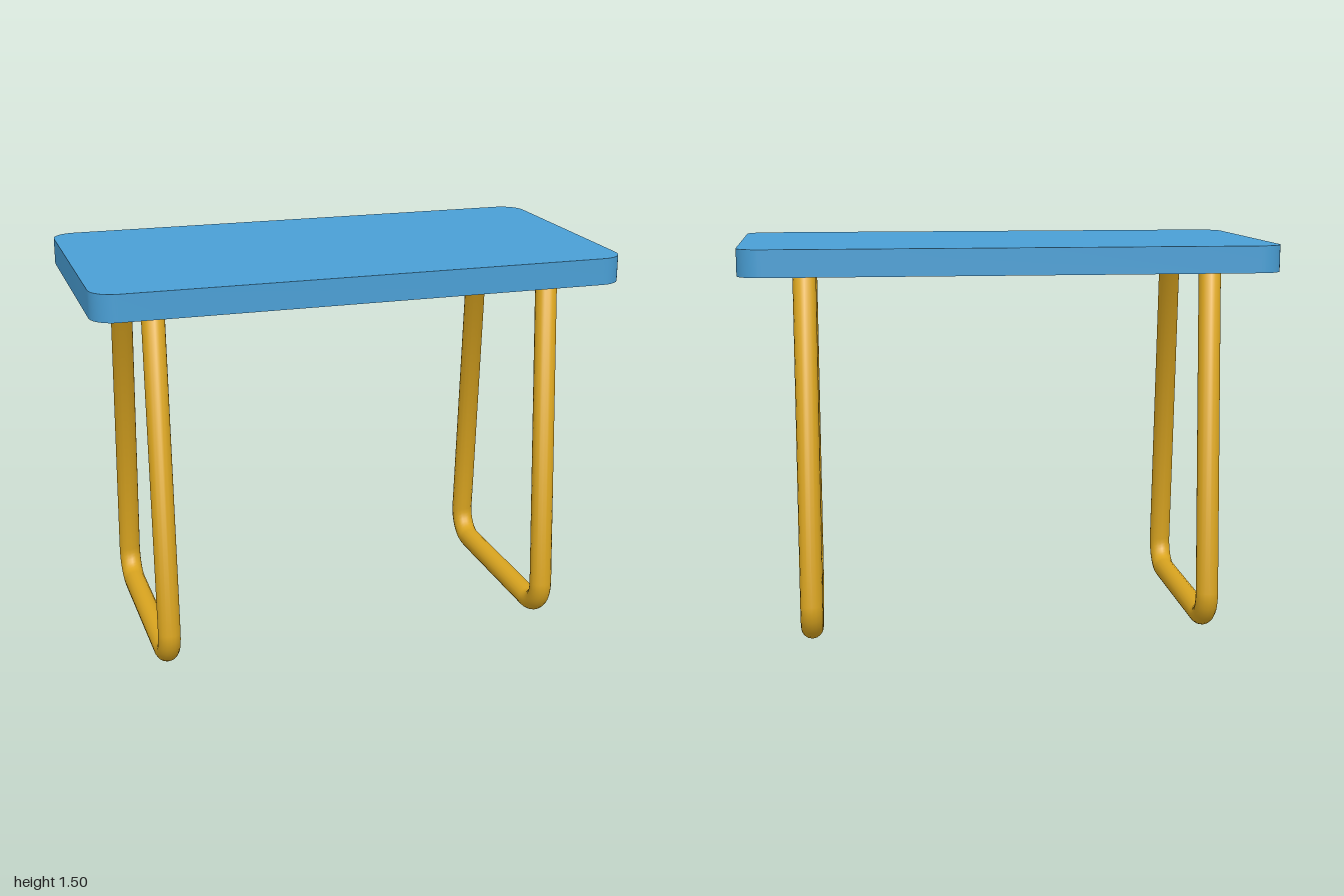
import * as THREE from 'three';
import { toCreasedNormals } from 'three/addons/utils/BufferGeometryUtils.js';

const topMaterial = new THREE.MeshStandardMaterial({ color: 0x4a9fd5 });
topMaterial.name = 'blue top';
const frameMaterial = new THREE.MeshStandardMaterial({ color: 0xdaa520 });
frameMaterial.name = 'golden frame';

// Rounded rectangular slab, centred on x and z
function tabletopGeometry(w, d, thickness, r) {
  const s = new THREE.Shape();
  const x = w / 2 - r, y = d / 2 - r;
  s.absarc(x, y, r, 0, Math.PI / 2);
  s.absarc(-x, y, r, Math.PI / 2, Math.PI);
  s.absarc(-x, -y, r, Math.PI, Math.PI * 1.5);
  s.absarc(x, -y, r, Math.PI * 1.5, Math.PI * 2);
  s.closePath();
  const g = new THREE.ExtrudeGeometry(s, { depth: thickness, bevelEnabled: false, curveSegments: 8 });
  g.rotateX(-Math.PI / 2);
  return toCreasedNormals(g, 0.6);
}

// Centre line of one leg loop in the yz plane: sharp at the top, rounded at the floor
function loopPath() {
  const bend = new THREE.CubicBezierCurve3(
    new THREE.Vector3(0, 0.16, 0.424), new THREE.Vector3(0, 0.095, 0.428),
    new THREE.Vector3(0, 0.044, 0.378), new THREE.Vector3(0, 0.044, 0.315));
  const half = [new THREE.Vector3(0, 1.41, 0.34), ...bend.getPoints(8)];
  const mirrored = half.map((p) => new THREE.Vector3(0, p.y, -p.z)).reverse();
  return [...half, ...mirrored];
}

// Round section swept along a closed path; rings face the average of both neighbours
function sweepLoop(path, radius, sides) {
  const positions = [], index = [], n = path.length;
  const across = new THREE.Vector3(1, 0, 0);
  path.forEach((p, i) => {
    const before = p.clone().sub(path[(i + n - 1) % n]).normalize();
    const after = path[(i + 1) % n].clone().sub(p).normalize();
    const normal = before.add(after).normalize().cross(across);
    for (let j = 0; j < sides; j++) {
      const a = (j / sides) * Math.PI * 2;
      const v = p.clone().addScaledVector(across, radius * Math.cos(a))
        .addScaledVector(normal, radius * Math.sin(a));
      positions.push(v.x, v.y, v.z);
      const k = (j + 1) % sides, next = (i + 1) % n;
      const A = i * sides + j, B = i * sides + k, C = next * sides + k, D = next * sides + j;
      index.push(A, B, C, A, C, D);
    }
  });
  const g = new THREE.BufferGeometry();
  g.setAttribute('position', new THREE.Float32BufferAttribute(positions, 3));
  g.setIndex(index);
  g.computeVertexNormals();
  return g;
}

export function createModel() {
  const table = new THREE.Group();
  table.name = 'table';

  const top = new THREE.Mesh(tabletopGeometry(2, 1.04, 0.1, 0.09), topMaterial);
  top.name = 'tabletop';
  top.position.y = 1.4;
  table.add(top);

  // One tubular leg loop near each end
  const loop = sweepLoop(loopPath(), 0.043, 16);
  for (const [name, x] of [['leftLegLoop', 0.76], ['rightLegLoop', -0.76]]) {
    const leg = new THREE.Mesh(loop, frameMaterial);
    leg.name = name;
    leg.position.x = x;
    table.add(leg);
  }
  return table;
}
